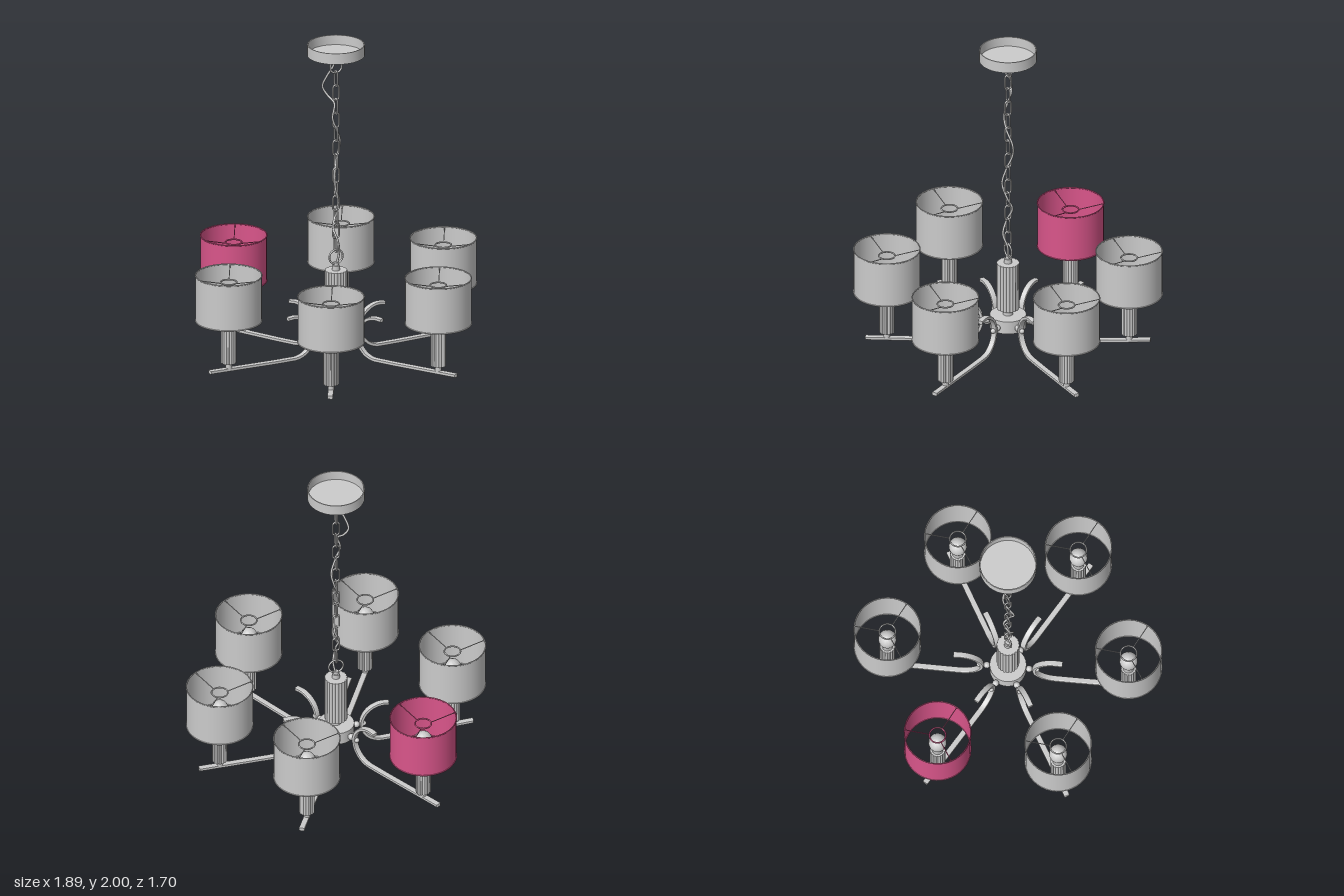
import * as THREE from 'three';
import { toCreasedNormals } from 'three/addons/utils/BufferGeometryUtils.js';

const grey = new THREE.MeshStandardMaterial({ color: 0xcccccc });
const greyThin = new THREE.MeshStandardMaterial({ color: 0xcccccc, side: THREE.DoubleSide });
const redThin = new THREE.MeshStandardMaterial({ color: 0xd9558a, side: THREE.DoubleSide });

function add(parent, name, geometry, material = grey) {
  const mesh = new THREE.Mesh(geometry, material);
  mesh.name = name;
  parent.add(mesh);
  return mesh;
}

// Upright cylinder between two heights
function cyl(r, y0, y1, sides = 24, rBottom = r) {
  return new THREE.CylinderGeometry(r, rBottom, y1 - y0, sides).translate(0, (y0 + y1) / 2, 0);
}

// Upright column with rounded ridges all round
function fluted(r, depth, y0, y1, ridges) {
  const points = [];
  const steps = ridges * 6;
  for (let i = 0; i < steps; i++) {
    const a = (i / steps) * Math.PI * 2;
    const d = r - depth * (1 - Math.abs(Math.sin((a * ridges) / 2)));
    points.push(new THREE.Vector2(Math.cos(a) * d, Math.sin(a) * d));
  }
  const geo = new THREE.ExtrudeGeometry(new THREE.Shape(points), { depth: y1 - y0, bevelEnabled: false });
  return toCreasedNormals(geo.rotateX(-Math.PI / 2).translate(0, y0, 0), 0.6);
}

function lathe(pairs, sides = 24) {
  const geo = new THREE.LatheGeometry(pairs.map(([x, y]) => new THREE.Vector2(x, y)), sides);
  return toCreasedNormals(geo, 0.7);
}

// Thin rod between two points
function rod(a, b, r) {
  return new THREE.TubeGeometry(new THREE.LineCurve3(a, b), 1, r, 6);
}

// Flat bar that runs in along the bottom and curls up and over
function armGeometry() {
  const cx = 0.295, cy = 0.145, outer = 0.145, inner = 0.123;
  const s = new THREE.Shape();
  s.moveTo(0.872, 0.008);
  s.lineTo(0.42, 0);
  s.lineTo(cx, cy - outer);
  s.absarc(cx, cy, outer, -Math.PI / 2, Math.PI / 2, true);
  s.lineTo(0.335, cy + outer - 0.004);
  s.lineTo(0.335, cy + inner - 0.004);
  s.lineTo(cx, cy + inner);
  s.absarc(cx, cy, inner, Math.PI / 2, -Math.PI / 2, false);
  s.lineTo(0.42, 0.022);
  s.lineTo(0.872, 0.03);
  s.closePath();
  const geo = new THREE.ExtrudeGeometry(s, {
    depth: 0.024, bevelThickness: 0.005, bevelSize: 0.003, bevelOffset: -0.003, bevelSegments: 1, curveSegments: 24,
  });
  return toCreasedNormals(geo.translate(0, 0, -0.012), 0.5);
}

// Drum shade with rims, and three spokes down to a centre ring
function makeShade(material) {
  const shade = new THREE.Group();
  shade.name = 'shade';
  const r = 0.203, y0 = 0.33, y1 = 0.63, ringY = 0.58;
  const wall = new THREE.CylinderGeometry(r, r, y1 - y0, 40, 1, true).translate(0, (y0 + y1) / 2, 0);
  add(shade, 'shadeWall', wall, material);
  for (const y of [y0 + 0.004, y1 - 0.004]) {
    add(shade, 'shadeRim', new THREE.TorusGeometry(r, 0.004, 6, 40).rotateX(Math.PI / 2).translate(0, y, 0), material);
  }
  add(shade, 'shadeRing', new THREE.TorusGeometry(0.05, 0.005, 6, 24).rotateX(Math.PI / 2).translate(0, ringY, 0), material);
  for (let i = 0; i < 3; i++) {
    const a = Math.PI / 3 + (i * Math.PI * 2) / 3;
    const at = (d, y) => new THREE.Vector3(Math.cos(a) * d, y, Math.sin(a) * d);
    add(shade, 'shadeSpoke', rod(at(0.05, ringY), at(r, y1 - 0.008), 0.003), material);
  }
  return shade;
}

function makeLamp(shadeMaterial) {
  const lamp = new THREE.Group();
  lamp.name = 'lamp';
  add(lamp, 'lampFoot', cyl(0.02, 0.02, 0.065, 16));
  add(lamp, 'candleTube', fluted(0.048, 0.005, 0.06, 0.325, 16));
  add(lamp, 'bulb', lathe([
    [0, 0.32], [0.034, 0.32], [0.035, 0.36], [0.043, 0.395], [0.053, 0.425], [0.056, 0.45],
    [0.052, 0.475], [0.04, 0.496], [0.021, 0.509], [0, 0.513],
  ]));
  lamp.add(makeShade(shadeMaterial));
  return lamp;
}

export function createModel() {
  const model = new THREE.Group();
  model.name = 'chandelier';

  // Canopy: shallow cup open at the top
  add(model, 'canopy', lathe([[0, 1.93], [0.176, 1.93], [0.176, 2], [0.17, 2], [0.17, 1.938], [0, 1.938]], 40), greyThin);
  add(model, 'canopyStem', cyl(0.024, 1.912, 1.932, 16));
  add(model, 'canopyLoop', cyl(0.014, 1.89, 1.914, 12));

  // Hanging rings and chain
  add(model, 'topRing', new THREE.TorusGeometry(0.04, 0.006, 8, 28).translate(0, 1.855, 0));
  add(model, 'bottomRing', new THREE.TorusGeometry(0.046, 0.006, 8, 28).translate(0, 0.625, 0));
  const link = new THREE.TorusGeometry(0.021, 0.0055, 8, 24);
  const pos = link.attributes.position;
  for (let i = 0; i < pos.count; i++) {
    const y = pos.getY(i);
    if (Math.abs(y) > 1e-6) pos.setY(i, y + Math.sign(y) * 0.029);
  }
  const links = 13;
  for (let i = 0; i < links; i++) {
    const mesh = add(model, 'chainLink', link);
    mesh.position.y = 0.705 + (i * (1.778 - 0.705)) / (links - 1);
    mesh.rotation.y = i % 2 ? 0 : Math.PI / 2;
  }

  // Cord winding loosely through the chain
  const cordPath = [
    [0, 1.93, 0], [-0.012, 1.86, -0.012], [-0.045, 1.79, -0.035], [-0.063, 1.72, -0.057], [-0.038, 1.665, -0.04],
    [-0.012, 1.62, 0], [-0.03, 1.53, 0.012], [0, 1.45, 0.01], [0.034, 1.36, -0.012], [0.02, 1.28, -0.022],
    [-0.01, 1.18, 0.005], [-0.02, 1.08, 0.03], [0.008, 0.99, 0.012], [0.015, 0.91, -0.022],
    [-0.02, 0.82, 0], [-0.006, 0.74, 0.032], [0.015, 0.66, 0.012], [0, 0.56, 0],
  ].map((p) => new THREE.Vector3(...p));
  add(model, 'cord', new THREE.TubeGeometry(new THREE.CatmullRomCurve3(cordPath), 120, 0.007, 8));

  // Centre column, hub and finial
  add(model, 'columnLoop', cyl(0.016, 0.565, 0.59, 12));
  add(model, 'columnCap', cyl(0.024, 0.535, 0.57, 16));
  add(model, 'column', fluted(0.071, 0.006, 0.23, 0.54, 20));
  add(model, 'columnNeck', cyl(0.045, 0.205, 0.232, 24, 0.03));
  add(model, 'hubStem', cyl(0.03, 0.185, 0.207));
  add(model, 'hub', cyl(0.112, 0.105, 0.188, 36));
  add(model, 'finial', new THREE.SphereGeometry(0.026, 16, 12).translate(0, 0.08, 0));

  // Six arms, each carrying a lamp; one shade is coloured
  const arm = armGeometry();
  for (let i = 0; i < 6; i++) {
    const a = (i * Math.PI) / 3;
    const unit = new THREE.Group();
    unit.name = 'armUnit';
    unit.rotation.y = -a;
    add(unit, 'arm', arm);
    add(unit, 'armPin', rod(new THREE.Vector3(0.1, 0.147, 0), new THREE.Vector3(0.18, 0.147, 0), 0.012));
    add(unit, 'armBall', new THREE.SphereGeometry(0.021, 14, 10).translate(0.13, 0.147, 0));
    add(unit, 'armScrew', new THREE.SphereGeometry(0.016, 12, 8).translate(0.177, 0.147, 0));
    model.add(unit);

    const lamp = makeLamp(i === 4 ? redThin : greyThin);
    lamp.position.set(Math.cos(a) * 0.74, 0, Math.sin(a) * 0.74);
    model.add(lamp);
  }
  return model;
}
